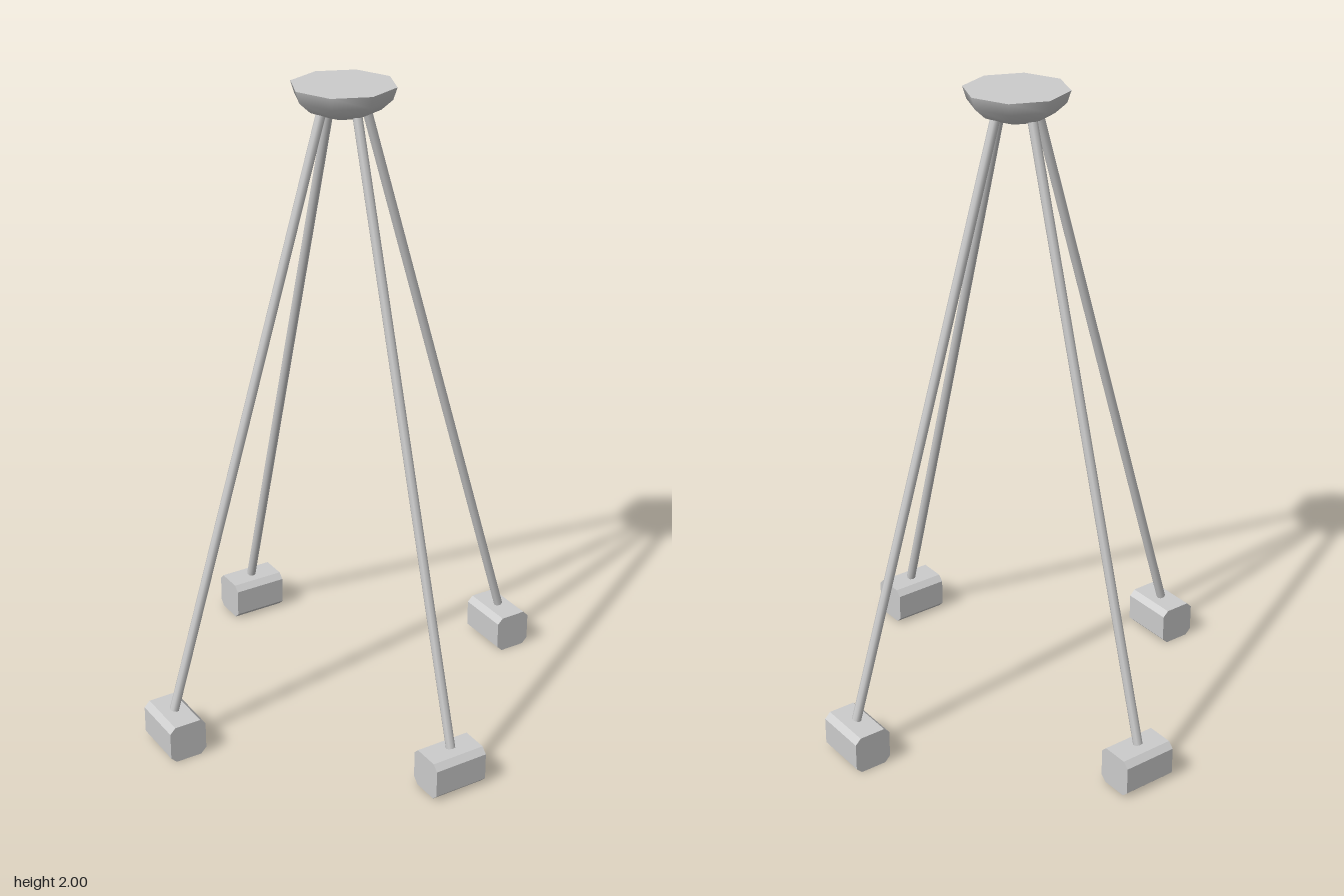
import * as THREE from 'three';

const grey = new THREE.MeshStandardMaterial({ color: 0xcccccc });
const greyFlat = new THREE.MeshStandardMaterial({ color: 0xcccccc, flatShading: true });

function part(name, geometry, material) {
  const mesh = new THREE.Mesh(geometry, material);
  mesh.name = name;
  return mesh;
}

// Shallow eight-sided bowl with a flat lid
function makeHub() {
  const R = 0.155, depth = 0.095, sides = 8, steps = 4;
  const profile = [];
  for (let i = 0; i <= steps; i++) {
    const a = (i / steps) * Math.PI / 2;
    profile.push(new THREE.Vector2(R * Math.sin(a), 2 - depth * Math.cos(a)));
  }
  const hub = new THREE.Group();
  hub.name = 'hub';
  hub.add(part('hubBowl', new THREE.LatheGeometry(profile, sides), grey));
  const lid = new THREE.CircleGeometry(R, sides).rotateX(-Math.PI / 2).translate(0, 2, 0);
  hub.add(part('hubLid', lid, grey));
  return hub;
}

// Straight round rod between two points
function makeRod(a, b, radius) {
  const dir = b.clone().sub(a);
  const geo = new THREE.CylinderGeometry(radius, radius, dir.length(), 8);
  geo.applyQuaternion(new THREE.Quaternion().setFromUnitVectors(
    new THREE.Vector3(0, 1, 0), dir.normalize()));
  const mid = a.clone().add(b).multiplyScalar(0.5);
  return geo.translate(mid.x, mid.y, mid.z);
}

// Block with its four long edges chamfered, standing on y = 0
function makeFoot(width, height, length, c) {
  const w = width / 2;
  const shape = new THREE.Shape([
    [-w + c, 0], [w - c, 0], [w, c], [w, height - c],
    [w - c, height], [-w + c, height], [-w, height - c], [-w, c],
  ].map(([x, y]) => new THREE.Vector2(x, y)));
  return new THREE.ExtrudeGeometry(shape, { depth: length, bevelEnabled: false })
    .translate(0, 0, -length / 2);
}

export function createModel() {
  const model = new THREE.Group();
  model.name = 'fourLeggedStand';
  model.add(makeHub());

  const legGeometry = makeRod(
    new THREE.Vector3(0.608, 0.125, 0), new THREE.Vector3(0.073, 1.93, 0), 0.0145);
  const footGeometry = makeFoot(0.12, 0.122, 0.175, 0.018).translate(0.607, 0, 0);

  // Four splayed legs with feet, a quarter turn apart
  ['left', 'back', 'right', 'front'].forEach((side, i) => {
    const leg = new THREE.Group();
    leg.name = side + 'Support';
    leg.add(part(side + 'Leg', legGeometry, grey));
    leg.add(part(side + 'Foot', footGeometry, greyFlat));
    leg.rotation.y = i * Math.PI / 2;
    model.add(leg);
  });
  return model;
}
